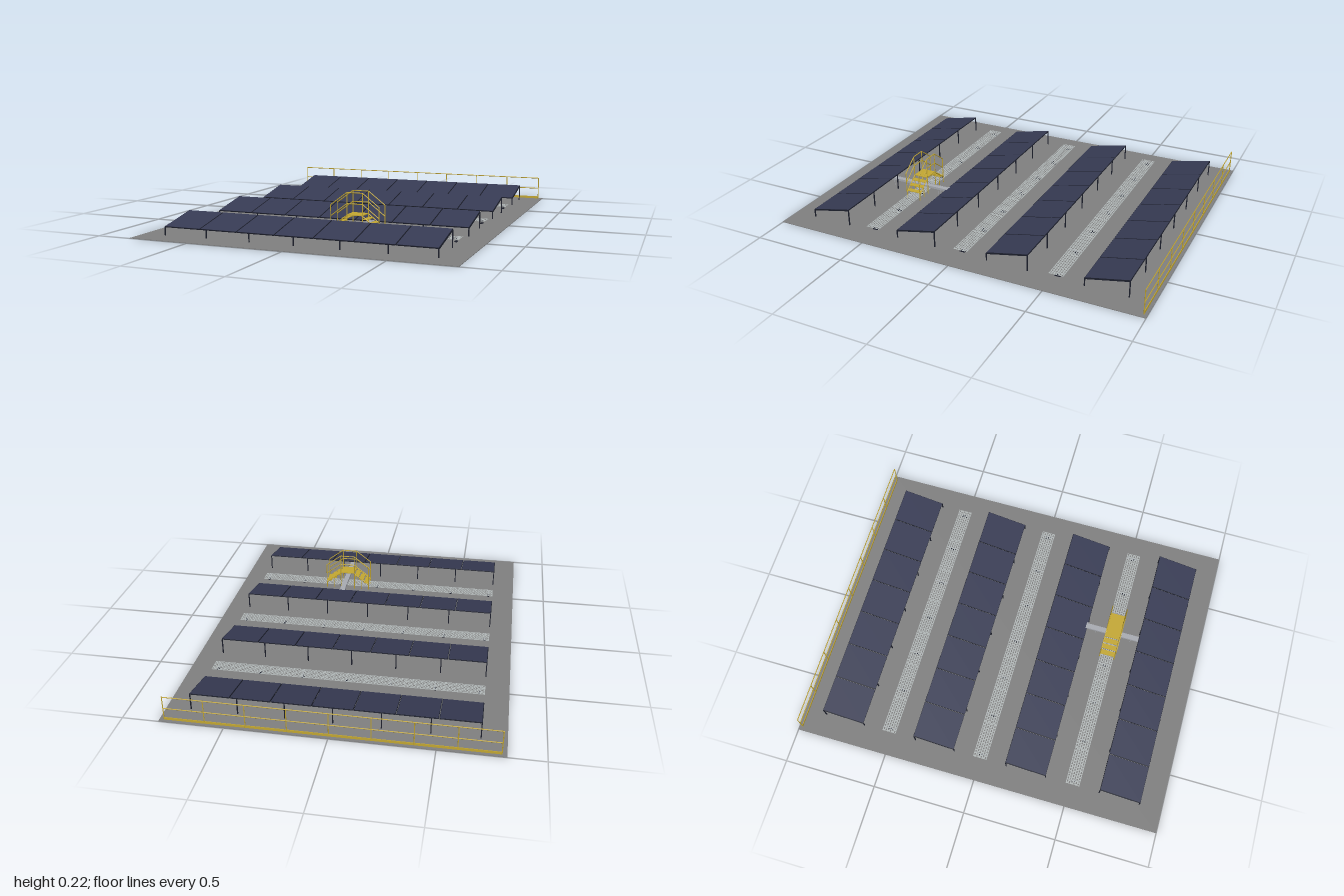
import * as THREE from 'three';

export function createModel() {
  const root = new THREE.Group();
  root.name = 'solarRoof';
  const mat = (name, color, side = THREE.FrontSide) => {
    const m = new THREE.MeshStandardMaterial({ color, side });
    m.name = name;
    return m;
  };
  const roofGrey = mat('roofGrey', 0x808080);
  const cellBlue = mat('cellBlue', 0x373b54);
  const frameDark = mat('frameDark', 0x1c1f2c);
  const safetyYellow = mat('safetyYellow', 0xc4a832);
  const gratingGrey = mat('gratingGrey', 0xb2b8b8, THREE.DoubleSide);
  const trayGrey = mat('trayGrey', 0xa8abb2);

  const box = (parent, name, m, w, h, d, x, y, z) => {
    const mesh = new THREE.Mesh(new THREE.BoxGeometry(w, h, d), m);
    mesh.position.set(x, y, z);
    mesh.name = name;
    parent.add(mesh);
    return mesh;
  };
  const group = (name, z = 0) => {
    const g = new THREE.Group();
    g.name = name;
    g.position.z = z;
    root.add(g);
    return g;
  };
  // Round bar between two points
  const bar = (parent, name, m, a, b, r = 0.0025) => {
    const p = new THREE.Vector3(...a), q = new THREE.Vector3(...b);
    const mesh = new THREE.Mesh(new THREE.CylinderGeometry(r, r, p.distanceTo(q), 8), m);
    mesh.position.copy(p).lerp(q, 0.5);
    mesh.quaternion.setFromUnitVectors(new THREE.Vector3(0, 1, 0), q.sub(p).normalize());
    mesh.name = name;
    parent.add(mesh);
  };

  // Roof slab
  box(root, 'roofSlab', roofGrey, 1.64, 0.003, 2, 0, 0.0015, 0);

  // Four tilted panel rows, low edge at the front
  const tilt = Math.atan2(0.046, 0.222), length = 0.227;
  for (const z of [-0.772, -0.259, 0.253, 0.769]) {
    const row = group('panelRow', z);
    const deck = new THREE.Group();
    deck.name = 'panelDeck';
    deck.position.y = 0.068;
    deck.rotation.x = tilt;
    row.add(deck);
    for (let i = -3; i <= 3; i++) {
      box(deck, 'panelFrame', frameDark, 0.197, 0.005, length, i * 0.2, 0, 0);
      box(deck, 'panelCells', cellBlue, 0.193, 0.001, length - 0.004, i * 0.2, 0.0028, 0);
    }
    for (let i = -3; i <= 3; i++) {
      const x = i * 0.2325;
      box(row, 'frontLeg', frameDark, 0.005, 0.043, 0.005, x, 0.0235, 0.111);
      box(row, 'rearLeg', frameDark, 0.005, 0.086, 0.005, x, 0.045, -0.109);
      const rafter = box(row, 'rafter', frameDark, 0.005, 0.003, 0.22, x, 0.0645, 0);
      rafter.rotation.x = tilt;
    }
  }

  // Perforated walkway planks with staggered slots
  const plank = new THREE.Shape();
  plank.moveTo(-0.0995, -0.0375).lineTo(0.0995, -0.0375).lineTo(0.0995, 0.0375).lineTo(-0.0995, 0.0375).closePath();
  for (let r = 0; r < 6; r++) {
    for (let c = 0; c < 12; c++) {
      const x = -0.0915 + c * 0.0161 + (r % 2) * 0.006, y = -0.03 + r * 0.012;
      const w = 0.0053, h = 0.0032;
      const slot = new THREE.Path();
      slot.moveTo(x - w, y - h).lineTo(x - w, y + h).lineTo(x + w, y + h).lineTo(x + w, y - h).closePath();
      plank.holes.push(slot);
    }
  }
  const plankGeo = new THREE.ShapeGeometry(plank).rotateX(-Math.PI / 2);
  for (const z of [-0.517, -0.002, 0.513]) {
    const walk = group('walkway', z);
    for (let i = -3; i <= 3; i++) {
      const mesh = new THREE.Mesh(plankGeo, gratingGrey);
      mesh.name = 'gratingPlank';
      mesh.position.set(i * 0.2, 0.023, 0);
      walk.add(mesh);
      const x = i * 0.225;
      box(walk, 'walkwayFoot', frameDark, 0.012, 0.003, 0.028, x, 0.0045, 0);
      box(walk, 'walkwayPost', frameDark, 0.004, 0.016, 0.004, x, 0.013, 0);
      box(walk, 'walkwayBearer', trayGrey, 0.004, 0.002, 0.07, x, 0.021, 0);
    }
    for (const s of [-1, 1]) box(walk, 'walkwayEdge', gratingGrey, 1.4, 0.003, 0.001, 0, 0.0215, s * 0.037);
  }

  // Cable tray passing under the crossover
  const tray = group('cableTray', 0.517);
  box(tray, 'trayFloor', trayGrey, 0.026, 0.002, 0.445, 0.188, 0.037, 0);
  box(tray, 'trayCover', trayGrey, 0.026, 0.002, 0.445, 0.188, 0.046, 0);
  for (const s of [-1, 1]) {
    box(tray, 'traySide', trayGrey, 0.002, 0.012, 0.445, 0.188 + s * 0.013, 0.042, 0);
  }
  box(tray, 'trayLip', trayGrey, 0.036, 0.008, 0.012, 0.188, 0.046, -0.157);
  for (const z of [-0.185, -0.1, 0.1, 0.185]) {
    for (const s of [-1, 1]) box(tray, 'trayLeg', trayGrey, 0.003, 0.034, 0.003, 0.188 + s * 0.011, 0.02, z);
  }

  // Crossover: platform, mirrored stairs and handrails
  const cross = group('crossover', 0.514);
  const cx = 0.174;
  box(cross, 'platform', safetyYellow, 0.084, 0.004, 0.08, cx, 0.104, 0);
  for (const s of [-1, 1]) {
    for (let i = 0; i < 3; i++) {
      box(cross, 'stairTread', safetyYellow, 0.0275, 0.003, 0.08, cx + s * (0.056 + i * 0.0282), 0.086 - i * 0.02, 0);
    }
    for (const e of [-1, 1]) {
      const z = e * 0.041, inner = cx + s * 0.041, outer = cx + s * 0.127;
      bar(cross, 'stringer', safetyYellow, [inner, 0.102, z], [outer, 0.035, z], 0.003);
      bar(cross, 'platformPost', safetyYellow, [inner, 0.003, z], [inner, 0.215, z]);
      bar(cross, 'stairPost', safetyYellow, [outer, 0.003, z], [outer, 0.15, z]);
      bar(cross, 'stairTopRail', safetyYellow, [inner, 0.215, z], [outer, 0.15, z]);
      bar(cross, 'stairMidRail', safetyYellow, [inner, 0.16, z], [outer, 0.095, z]);
      const mid = cx + s * 0.084;
      bar(cross, 'stairLeg', safetyYellow, [mid, 0.003, z], [mid, 0.068, z], 0.002);
    }
  }
  for (const e of [-1, 1]) {
    for (const y of [0.16, 0.215]) {
      bar(cross, 'platformRail', safetyYellow, [cx - 0.041, y, e * 0.041], [cx + 0.041, y, e * 0.041]);
    }
  }

  // Guard rail along the rear edge
  const fence = group('guardRail', -0.983);
  for (let i = -4; i <= 4; i++) {
    bar(fence, 'guardPost', safetyYellow, [i * 0.199, 0.002, 0], [i * 0.199, 0.131, 0]);
  }
  for (const y of [0.067, 0.131]) bar(fence, 'guardRailBar', safetyYellow, [-0.798, y, 0], [0.798, y, 0]);
  box(fence, 'toeBoard', safetyYellow, 1.596, 0.013, 0.003, 0, 0.0095, 0);

  return root;
}
